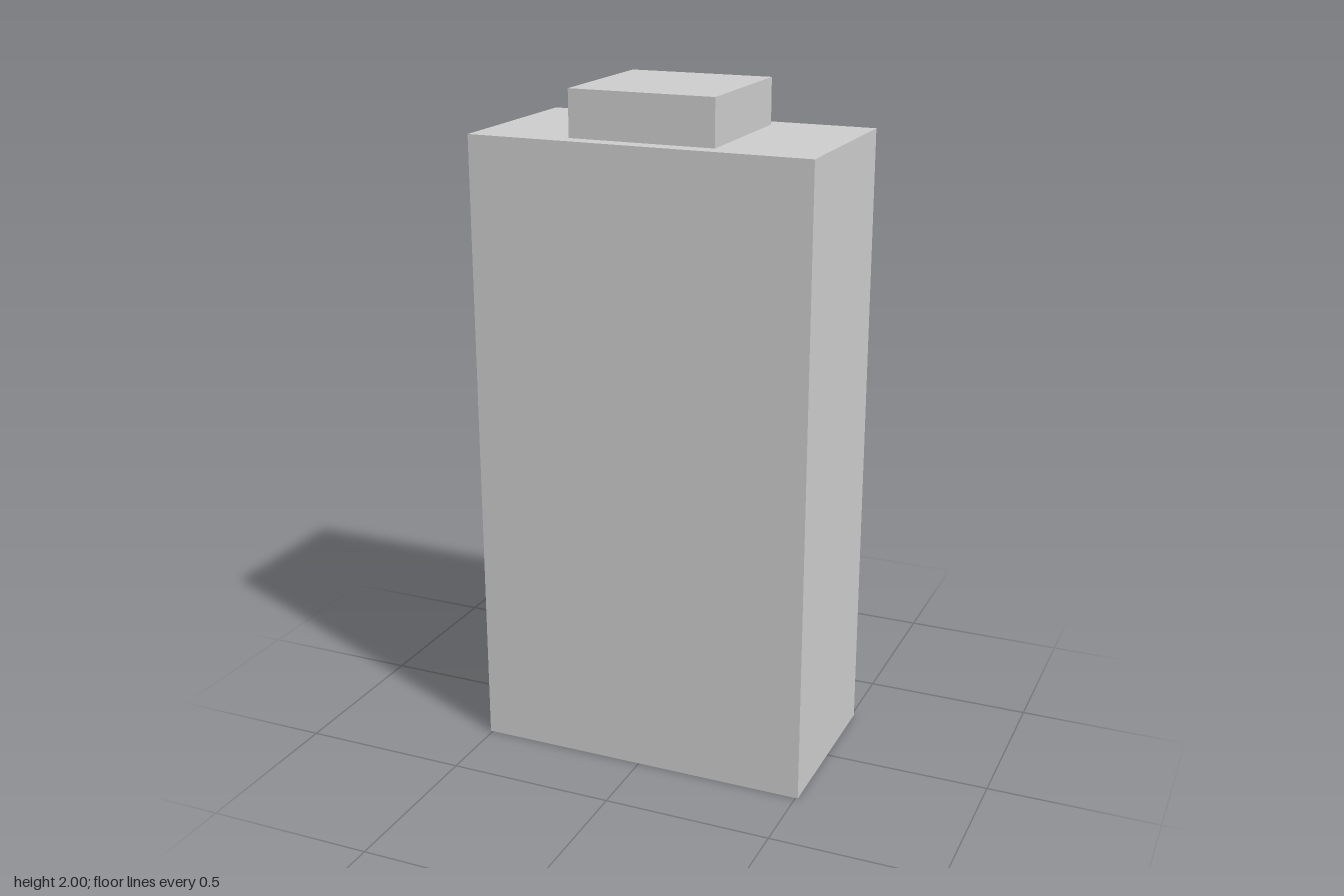
import * as THREE from 'three';

const material = new THREE.MeshStandardMaterial({ color: 0xcccccc, flatShading: true, side: THREE.DoubleSide });

// Outlines as [x, -z], counter-clockwise seen from above
const BODY_HEIGHT = 1.865;
const TOTAL_HEIGHT = 2;
const bodyOutline = [[-0.507, -0.271], [0.507, -0.271], [0.507, 0.271], [-0.507, 0.271]];
const capOutline = [[-0.219, -0.221], [0.212, -0.221], [0.21, 0.216], [-0.222, 0.212]];

const toPoints = (outline) => outline.map(([x, y]) => new THREE.Vector2(x, y));

function addMesh(parent, name, geometry) {
  const mesh = new THREE.Mesh(geometry, material);
  mesh.name = name;
  parent.add(mesh);
}

// Upright walls around an outline, open above and below
function walls(outline, y0, y1) {
  const positions = [];
  outline.forEach(([ax, ay], i) => {
    const [bx, by] = outline[(i + 1) % outline.length];
    positions.push(ax, y0, -ay, bx, y0, -by, bx, y1, -by);
    positions.push(ax, y0, -ay, bx, y1, -by, ax, y1, -ay);
  });
  const geometry = new THREE.BufferGeometry();
  geometry.setAttribute('position', new THREE.Float32BufferAttribute(positions, 3));
  geometry.computeVertexNormals();
  return geometry;
}

// Flat upward-facing sheet, with an optional opening
function sheet(outline, y, opening) {
  const shape = new THREE.Shape(toPoints(outline));
  if (opening) shape.holes.push(new THREE.Path(toPoints(opening).reverse()));
  return new THREE.ShapeGeometry(shape).rotateX(-Math.PI / 2).translate(0, y, 0);
}

export function createModel() {
  const model = new THREE.Group();
  model.name = 'blockWithRaisedCap';

  // Tall hollow body, open at the bottom
  const body = new THREE.Group();
  body.name = 'body';
  addMesh(body, 'bodyWalls', walls(bodyOutline, 0, BODY_HEIGHT));
  addMesh(body, 'bodyTop', sheet(bodyOutline, BODY_HEIGHT, capOutline));

  // Square cap raised out of the body's top
  const cap = new THREE.Group();
  cap.name = 'cap';
  addMesh(cap, 'capWalls', walls(capOutline, BODY_HEIGHT, TOTAL_HEIGHT));
  addMesh(cap, 'capTop', sheet(capOutline, TOTAL_HEIGHT));

  model.add(body, cap);
  return model;
}
